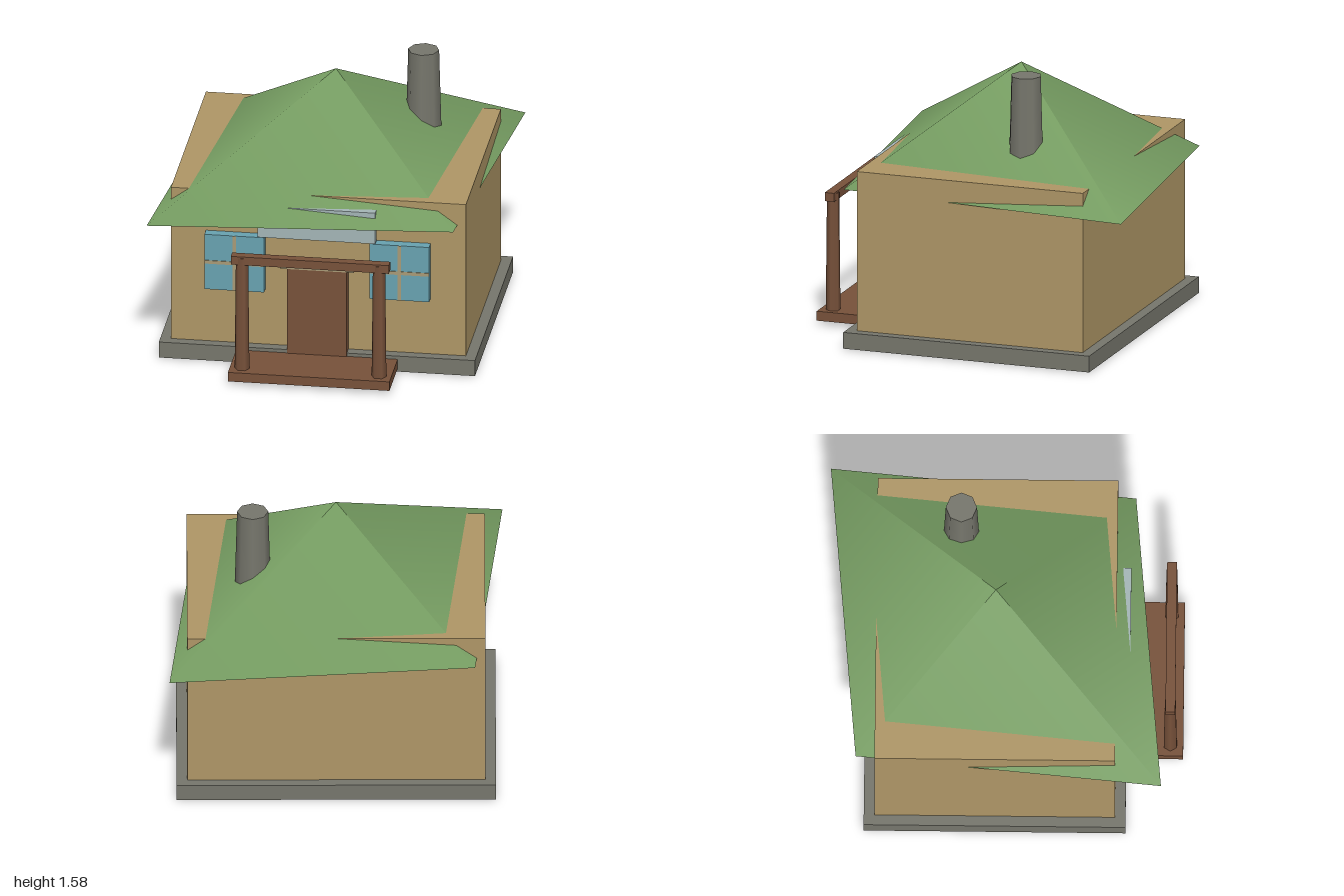
import * as THREE from 'three';

const mat = (color) => new THREE.MeshStandardMaterial({ color });
const M = {
  wall: mat(0xae9666), roof: mat(0x759c61), stone: mat(0x76766c), wood: mat(0x77513a),
  glass: mat(0x68a2b0), board: mat(0xa4b5b6), trim: mat(0xa89a76),
};

export function createModel() {
  const house = new THREE.Group();
  house.name = 'cottage';

  const add = (name, geometry, material, x, y, z) => {
    const mesh = new THREE.Mesh(geometry, material);
    mesh.name = name;
    mesh.position.set(x, y, z);
    house.add(mesh);
    return mesh;
  };
  // Box given by its extents on each axis
  const box = (name, material, [x0, x1], [y0, y1], [z0, z1]) =>
    add(name, new THREE.BoxGeometry(x1 - x0, y1 - y0, z1 - z0), material,
      (x0 + x1) / 2, (y0 + y1) / 2, (z0 + z1) / 2);

  // Body
  box('foundation', M.stone, [-0.9, 0.9], [0.005, 0.1], [-0.795, 0.68]);
  box('walls', M.wall, [-0.84, 0.84], [0, 1.03], [-0.735, 0.62]);

  // Skewed pyramid roof: a four-sided cone stretched along one diagonal
  const roof = add('roof', new THREE.ConeGeometry(1, 0.62, 4), M.roof, 0, 1.21, -0.06);
  roof.scale.set(1.33, 1, 1.105);
  roof.rotation.y = Math.PI / 4;

  // Chimney
  add('chimney', new THREE.CylinderGeometry(0.088, 0.104, 0.58, 8), M.stone, 0.47, 1.29, -0.26);

  // Door, lintel and board above
  box('door', M.wood, [-0.17, 0.17], [0, 0.6], [0.6, 0.685]);
  box('lintel', M.trim, [-0.21, 0.21], [0.6, 0.65], [0.61, 0.69]);
  box('signBoard', M.board, [-0.335, 0.335], [0.79, 0.98], [0.655, 0.7]);

  // Porch
  box('porchFloor', M.wood, [-0.46, 0.46], [0.025, 0.08], [0.64, 1]);
  box('porchBeam', M.wood, [-0.45, 0.45], [0.725, 0.775], [0.9, 0.955]);

  // Windows with crossed bars, and porch posts
  for (const [side, s] of [['left', 1], ['right', -1]]) {
    const cx = s * 0.47, cy = 0.613;
    box(side + 'Window', M.glass, [cx - 0.17, cx + 0.17], [cy - 0.168, cy + 0.168], [0.625, 0.684]);
    box(side + 'WindowUprightBar', M.trim, [cx - 0.01, cx + 0.01], [cy - 0.167, cy + 0.167], [0.63, 0.688]);
    box(side + 'WindowCrossBar', M.trim, [cx - 0.169, cx + 0.169], [cy - 0.01, cy + 0.01], [0.63, 0.688]);
    const post = add(side + 'Post', new THREE.CylinderGeometry(0.035, 0.042, 0.685, 6), M.wood, s * 0.39, 0.4225, 0.927);
    post.rotation.y = Math.PI / 6;
  }
  return house;
}
